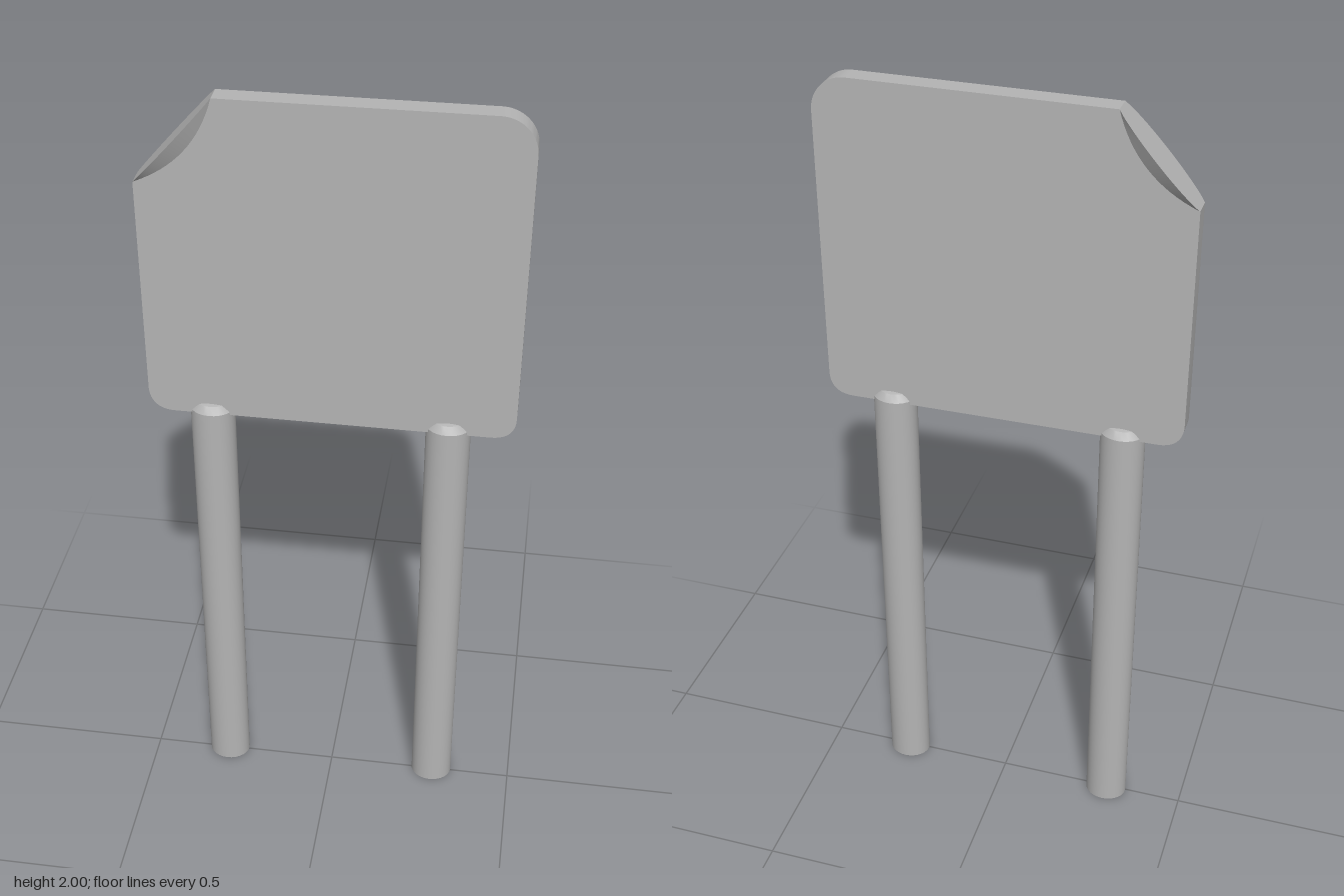
import * as THREE from 'three';
import { toCreasedNormals } from 'three/addons/utils/BufferGeometryUtils.js';

export function createModel() {
  const model = new THREE.Group();
  const grey = new THREE.MeshStandardMaterial({ color: 0xb4b4b4 });
  grey.name = 'plain grey';

  const add = (name, geometry, x = 0, y = 0, z = 0) => {
    const mesh = new THREE.Mesh(toCreasedNormals(geometry, 0.6), grey);
    mesh.name = name;
    mesh.position.set(x, y, z);
    model.add(mesh);
    return mesh;
  };

  const midZ = -0.004;
  const half = 0.025; // half the board thickness
  const [w, bottom, top] = [0.447, 1.175, 2];
  const cutLow = new THREE.Vector2(-w, 1.79);
  const cutHigh = new THREE.Vector2(-0.26, top);

  // Sign board with rounded corners and one corner cut off
  const outline = new THREE.Shape();
  outline.moveTo(cutLow.x, cutLow.y);
  outline.lineTo(-w, bottom + 0.06);
  outline.quadraticCurveTo(-w + 0.005, bottom + 0.005, -w + 0.06, bottom + 0.003);
  outline.lineTo(w - 0.06, bottom);
  outline.quadraticCurveTo(w, bottom, w, bottom + 0.06);
  outline.lineTo(w, top - 0.085);
  outline.absarc(w - 0.085, top - 0.085, 0.085, 0, Math.PI / 2, false);
  outline.lineTo(cutHigh.x, cutHigh.y);
  outline.closePath();
  add('board', new THREE.ExtrudeGeometry(outline, {
    depth: half * 2, bevelEnabled: false, curveSegments: 10,
  }), 0, 0, midZ - half);

  // Lens-shaped flare along the cut corner, lofted from four-point sections
  const inward = new THREE.Vector2(cutHigh.y - cutLow.y, cutLow.x - cutHigh.x).normalize();
  const steps = 16;
  const positions = [];
  const index = [];
  for (let i = 0; i <= steps; i++) {
    const t = (i / steps) * 2 - 1;
    const p = cutLow.clone().lerp(cutHigh, i / steps);
    const q = p.clone().addScaledVector(inward, 0.035 * (1 - t * t));
    const flare = half + 0.022 * Math.pow(1 - t * t, 0.7);
    positions.push(p.x, p.y, flare, q.x, q.y, half, q.x, q.y, -half, p.x, p.y, -flare);
    if (i === steps) break;
    for (let k = 0; k < 4; k++) {
      const a = i * 4 + k;
      const b = i * 4 + (k + 1) % 4;
      index.push(a, b, a + 4, b, b + 4, a + 4);
    }
  }
  const flareGeometry = new THREE.BufferGeometry();
  flareGeometry.setAttribute('position', new THREE.Float32BufferAttribute(positions, 3));
  flareGeometry.setIndex(index);
  // Order the corners so that the faces look outward
  const probe = new THREE.Vector3().crossVectors(
    new THREE.Vector3(inward.x, inward.y, 0),
    new THREE.Vector3(cutHigh.x - cutLow.x, cutHigh.y - cutLow.y, 0),
  );
  if (probe.z < 0) flareGeometry.setIndex(index.reverse());
  add('cornerFlare', flareGeometry, 0, 0, midZ);

  // Two slightly oval posts with shallow domed tops
  const profile = [[0, 0], [0.055, 0], [0.055, 1.185], [0.04, 1.203], [0, 1.213]]
    .map(([r, y]) => new THREE.Vector2(r, y));
  for (const [name, x] of [['rightPost', -0.295], ['leftPost', 0.284]]) {
    add(name, new THREE.LatheGeometry(profile, 28), x, 0, midZ).scale.z = 0.87;
  }

  return model;
}
